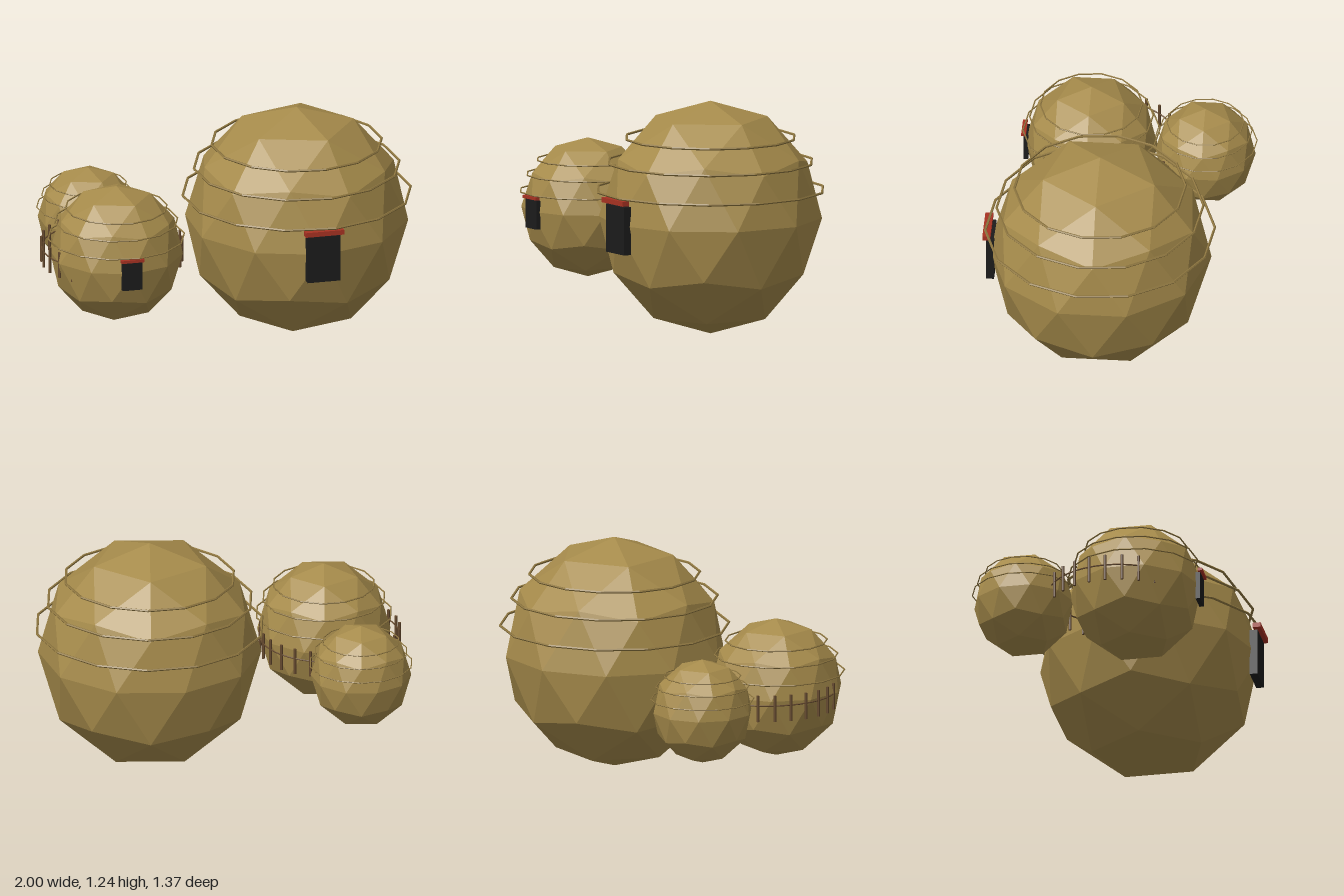
import * as THREE from 'three';

const mat = (name, color, flatShading = true) => {
  const m = new THREE.MeshStandardMaterial({ color, flatShading });
  m.name = name;
  return m;
};

export function createModel() {
  const thatch = mat('thatch', 0xa68b4b);
  const rope = mat('rope', 0x8f7740);
  const dark = mat('door black', 0x1c1c1c);
  const red = mat('lintel red', 0xa83222);
  const wood = mat('fence wood', 0x664a2e);

  const model = new THREE.Group();
  const add = (parent, name, geo, material, x = 0, y = 0, z = 0) => {
    const mesh = new THREE.Mesh(geo, material);
    mesh.name = name;
    mesh.position.set(x, y, z);
    parent.add(mesh);
    return mesh;
  };

  // Faceted ball with a corner at each pole, slightly taller than wide
  const ball = new THREE.IcosahedronGeometry(1, 1);
  ball.rotateZ(-Math.atan(2 / (1 + Math.sqrt(5))));
  ball.scale(0.59, 0.62, 0.59);

  // Rope bands: height above the ball's centre, and radius
  const bands = [[0.148, 0.606], [0.296, 0.546], [0.425, 0.452]];

  // Round hut with three rope bands and an optional doorway
  function hut(name, x, y, z, s, hasDoor) {
    const g = new THREE.Group();
    g.name = name;
    g.position.set(x, y, z);
    g.scale.setScalar(s);
    add(g, 'hutBody', ball, thatch);
    for (const [h, r] of bands) {
      const ring = new THREE.TorusGeometry(r, 0.007, 5, 14);
      ring.rotateX(Math.PI / 2);
      ring.rotateY(-0.125);
      add(g, 'ropeBand', ring, rope, 0, h, 0);
    }
    if (hasDoor) {
      add(g, 'door', new THREE.BoxGeometry(0.18, 0.255, 0.042), dark, 0, -0.022, 0.575);
      add(g, 'lintel', new THREE.BoxGeometry(0.21, 0.026, 0.042), red, 0, 0.127, 0.594);
    }
    model.add(g);
  }
  hut('largeHut', 0.393, 0.623, 0.068, 1, true);
  hut('middleHut', -0.62, 0.565, 0.193, 0.597, true);
  hut('smallHut', -0.622, 0.543, -0.41, 0.45, false);

  // Curved fence wrapped around the back of the middle hut
  const fence = new THREE.Group();
  fence.name = 'fence';
  fence.position.set(-0.621, 0, 0.1);
  model.add(fence);
  const R = 0.37, posts = 20, step = (Math.PI * 2) / 26;
  const points = [];
  const post = new THREE.CylinderGeometry(0.008, 0.008, 0.142, 6);
  for (let i = 0; i < posts; i++) {
    const a = (i - (posts - 1) / 2) * step;
    const x = R * Math.sin(a), z = -R * Math.cos(a);
    points.push(new THREE.Vector3(x, 0.564, z));
    add(fence, 'fencePost', post, wood, x, 0.549, z);
  }
  const rail = new THREE.TubeGeometry(new THREE.CatmullRomCurve3(points), 38, 0.004, 5);
  add(fence, 'fenceRail', rail, wood);

  return model;
}
